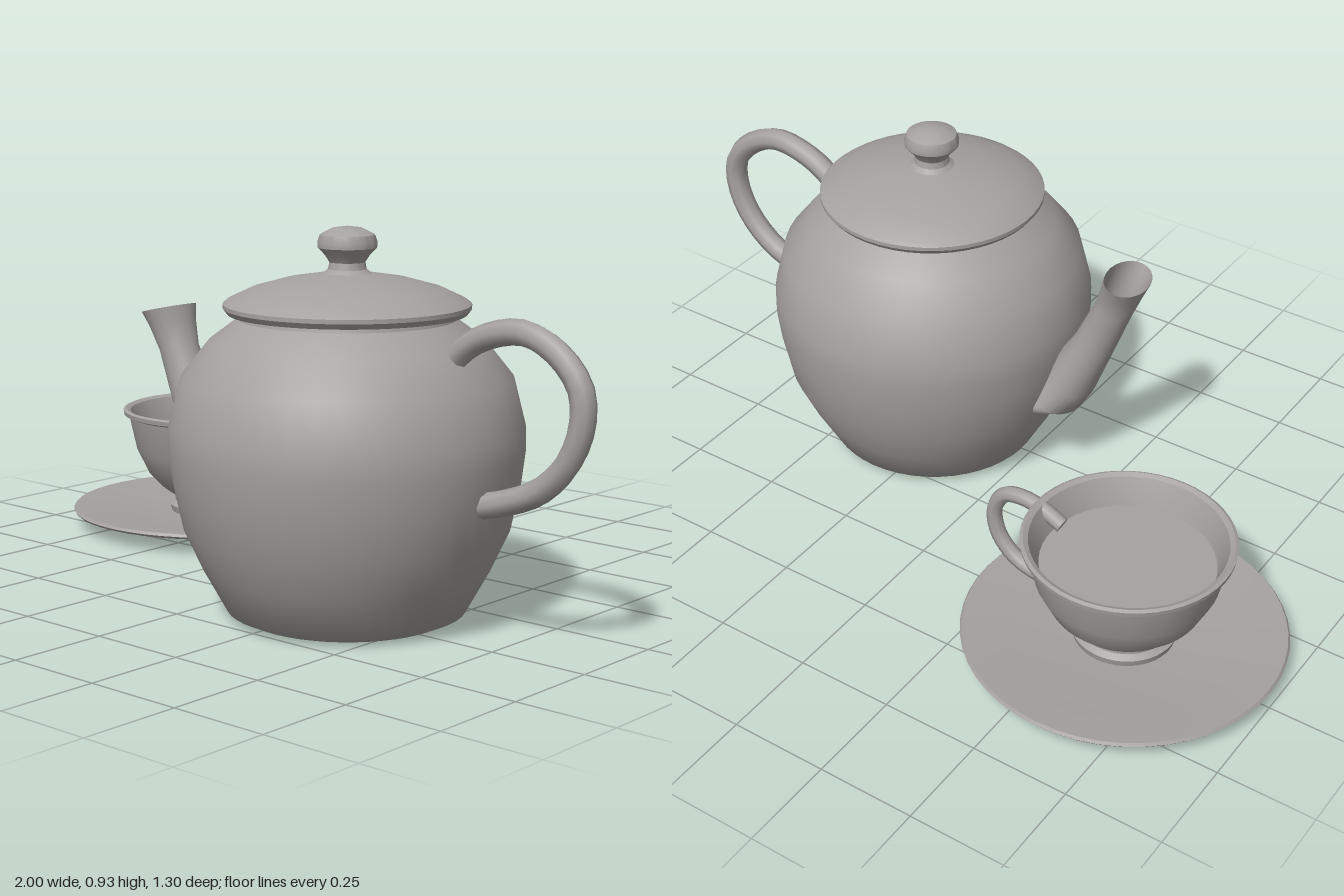
import * as THREE from 'three';
import { toCreasedNormals } from 'three/addons/utils/BufferGeometryUtils.js';

const glaze = new THREE.MeshStandardMaterial({ color: 0xa5a19e, side: THREE.DoubleSide });
glaze.name = 'warm grey glaze';

function part(name, geometry, parent) {
  const mesh = new THREE.Mesh(geometry, glaze);
  mesh.name = name;
  parent.add(mesh);
  return mesh;
}

// Turned part from [radius, height] pairs, bottom to top
function turned(name, profile, parent) {
  const points = profile.map(([r, y]) => new THREE.Vector2(r, y));
  return part(name, toCreasedNormals(new THREE.LatheGeometry(points, 48), 0.65), parent);
}

// Octagonal tube through [x, y] points, with closed ends
function handle(name, path, radius, parent) {
  const curve = new THREE.CatmullRomCurve3(path.map(([x, y]) => new THREE.Vector3(x, y, 0)));
  const group = new THREE.Group();
  group.name = name;
  part(name + 'Tube', new THREE.TubeGeometry(curve, 28, radius, 8), group);
  for (const t of [0, 1]) {
    const cap = part(name + 'End', new THREE.CircleGeometry(radius, 8), group);
    const out = curve.getTangent(t).multiplyScalar(t ? 1 : -1);
    cap.position.copy(curve.getPoint(t));
    cap.quaternion.setFromUnitVectors(new THREE.Vector3(0, 0, 1), out);
  }
  parent.add(group);
}

// Spout lofted through ellipses: [outer x, outer y, inner x, inner y, half depth]
function spoutGeometry(sections, sides = 24) {
  const positions = [], index = [];
  sections.forEach(([ax, ay, bx, by, depth], row) => {
    for (let i = 0; i < sides; i++) {
      const a = (i / sides) * Math.PI * 2;
      const t = (1 - Math.cos(a)) / 2;
      positions.push(ax + (bx - ax) * t, ay + (by - ay) * t, Math.sin(a) * depth);
      if (row === 0) continue;
      const j = (i + 1) % sides, p = (row - 1) * sides, q = row * sides;
      index.push(p + i, p + j, q + i, p + j, q + j, q + i);
    }
  });
  const geometry = new THREE.BufferGeometry();
  geometry.setAttribute('position', new THREE.Float32BufferAttribute(positions, 3));
  geometry.setIndex(index);
  geometry.computeVertexNormals();
  return geometry;
}

function createTeapot() {
  const pot = new THREE.Group();
  pot.name = 'teapot';
  // Body, open underneath
  turned('potBody', [
    [0.225, 0.003], [0.25, 0.006], [0.285, 0.022], [0.342, 0.125], [0.388, 0.225], [0.41, 0.33],
    [0.42, 0.41], [0.419, 0.465], [0.39, 0.58], [0.322, 0.665], [0.255, 0.715], [0.25, 0.735],
  ], pot);
  turned('lid', [
    [0.25, 0.725], [0.28, 0.727], [0.29, 0.74], [0.29, 0.75], [0.28, 0.758],
    [0.225, 0.784], [0.15, 0.805], [0.06, 0.82], [0, 0.825],
  ], pot);
  turned('lidKnob', [
    [0.06, 0.818], [0.045, 0.83], [0.042, 0.846], [0.052, 0.862], [0.069, 0.88], [0.07, 0.893],
    [0.064, 0.91], [0.035, 0.925], [0, 0.93],
  ], pot);
  const spout = part('spout', spoutGeometry([
    [-0.345, 0.674, -0.24, 0.7, 0.08],
    [-0.33, 0.64, -0.23, 0.665, 0.066],
    [-0.305, 0.58, -0.21, 0.602, 0.05],
    [-0.249, 0.43, -0.152, 0.476, 0.055],
    [-0.197, 0.295, -0.09, 0.38, 0.075],
    [-0.165, 0.24, -0.05, 0.3, 0.095],
    [-0.09, 0.218, 0.0, 0.27, 0.1],
  ]), pot);
  spout.position.x = -0.3;
  handle('potHandle', [
    [0.28, 0.61], [0.35, 0.68], [0.42, 0.715], [0.51, 0.728], [0.6, 0.69], [0.66, 0.62],
    [0.665, 0.54], [0.63, 0.455], [0.56, 0.385], [0.47, 0.345], [0.38, 0.322],
  ], 0.03, pot);
  pot.position.set(0.3, 0, 0.228);
  return pot;
}

function createCupAndSaucer() {
  const set = new THREE.Group();
  set.name = 'cupAndSaucer';
  turned('saucer', [
    [0, 0.005], [0.155, 0.004], [0.195, 0.018], [0.3, 0.033], [0.395, 0.046], [0.4, 0.052],
    [0.395, 0.059], [0.3, 0.052], [0.2, 0.042], [0, 0.04],
  ], set);
  // Cup, outside then over the lip and down the inside
  turned('cup', [
    [0.125, 0.04], [0.13, 0.06], [0.115, 0.07], [0.115, 0.085], [0.15, 0.11], [0.188, 0.15],
    [0.222, 0.22], [0.242, 0.312], [0.256, 0.318], [0.258, 0.33], [0.25, 0.334],
    [0.238, 0.328], [0.222, 0.29], [0.21, 0.25],
  ], set);
  const tea = part('teaSurface', new THREE.CircleGeometry(0.213, 48), set);
  tea.rotation.x = -Math.PI / 2;
  tea.position.y = 0.257;
  handle('cupHandle', [
    [0.185, 0.285], [0.24, 0.31], [0.3, 0.319], [0.35, 0.305], [0.38, 0.25],
    [0.37, 0.18], [0.33, 0.13], [0.28, 0.106], [0.215, 0.098],
  ], 0.02, set);
  set.position.set(-0.6, 0, -0.25);
  return set;
}

export function createModel() {
  const model = new THREE.Group();
  model.name = 'teaSet';
  model.add(createTeapot(), createCupAndSaucer());
  return model;
}
